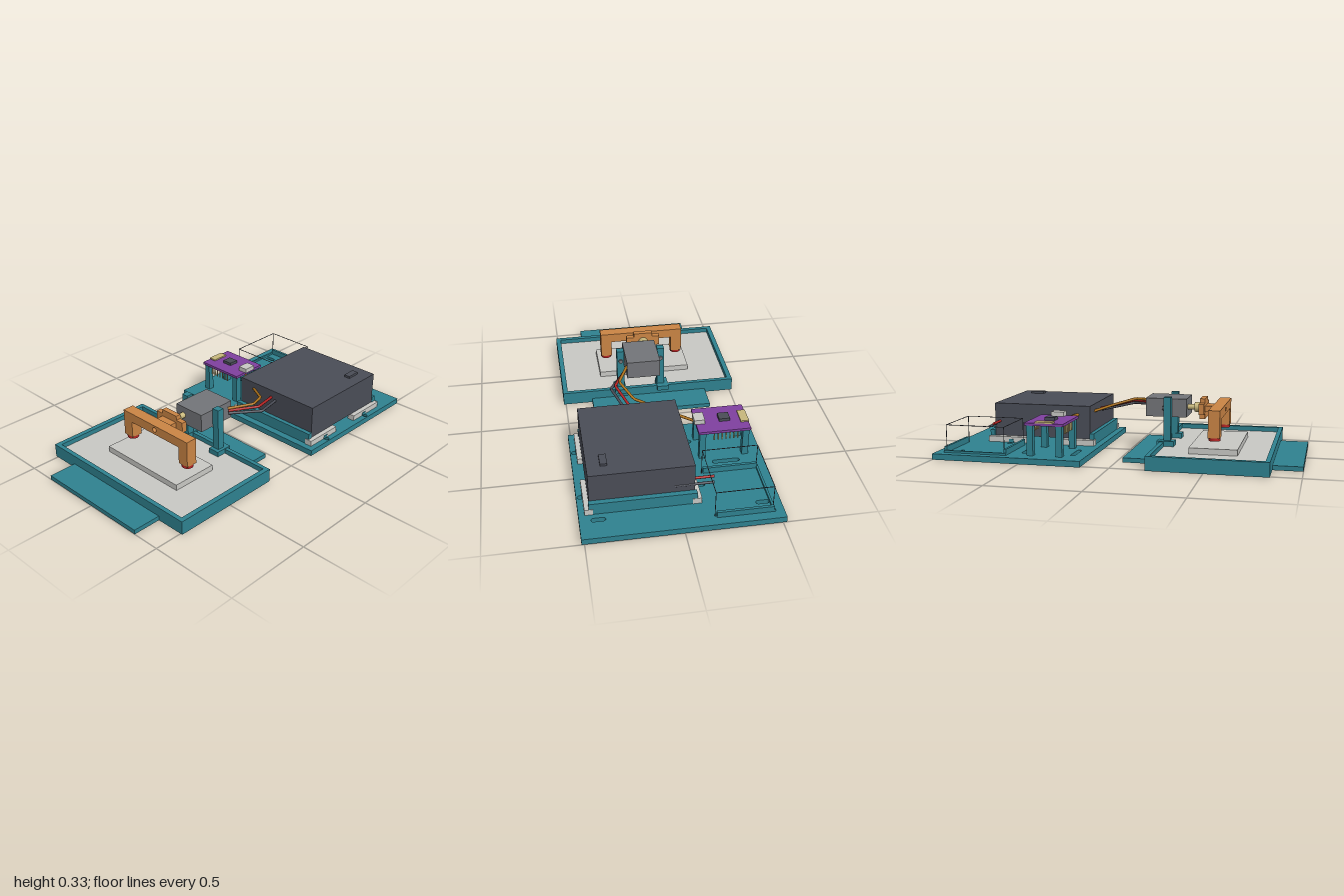
import * as THREE from 'three';

const mat = (name, color) => {
  const m = new THREE.MeshStandardMaterial({ color });
  m.name = name;
  return m;
};

export function createModel() {
  const root = new THREE.Group();
  const teal = mat('teal plastic', 0x2f8290);
  const orange = mat('orange plastic', 0xcb8545);
  const tan = mat('tan metal', 0xc8b87c);
  const light = mat('light grey', 0xc9c9c5);
  const grey = mat('motor grey', 0x737579);
  const dark = mat('dark grey', 0x4a4d57);
  const purple = mat('purple board', 0x8040a0);
  const red = mat('red', 0xb52424);
  const amber = mat('amber wire', 0xb0741c);

  const add = (name, geo, m) => {
    const mesh = new THREE.Mesh(geo, m);
    mesh.name = name;
    root.add(mesh);
    return mesh;
  };
  // box from its minimum and maximum on each axis
  const box = (name, m, x0, x1, y0, y1, z0, z1) =>
    add(name, new THREE.BoxGeometry(x1 - x0, y1 - y0, z1 - z0), m)
      .position.set((x0 + x1) / 2, (y0 + y1) / 2, (z0 + z1) / 2);
  const cyl = (name, m, r, h, x, y, z, axis = 'y') => {
    const g = new THREE.CylinderGeometry(r, r, h, 20);
    if (axis === 'x') g.rotateZ(Math.PI / 2);
    if (axis === 'z') g.rotateX(Math.PI / 2);
    add(name, g, m).position.set(x, y, z);
  };
  const rect = (P, x0, x1, z0, z1) => new P().moveTo(x0, -z0).lineTo(x0, -z1)
    .lineTo(x1, -z1).lineTo(x1, -z0).closePath();
  const slot = (x, z0, z1, r = 0.013) => {
    const p = new THREE.Path();
    p.absarc(x, -z0 - r, r, 0, Math.PI, false);
    p.absarc(x, -z1 + r, r, Math.PI, Math.PI * 2, false);
    return p.closePath();
  };
  // horizontal plate with holes
  const plate = (name, m, shape, holes, y0, y1) => {
    shape.holes.push(...holes);
    const g = new THREE.ExtrudeGeometry(shape, { depth: y1 - y0, bevelEnabled: false, curveSegments: 8 });
    add(name, g.rotateX(-Math.PI / 2), m).position.y = y0;
  };
  // wire with sharp bends
  const wire = (name, m, r, pts) => {
    const path = new THREE.CurvePath();
    const v = pts.map(p => new THREE.Vector3(...p));
    for (let i = 1; i < v.length; i++) path.add(new THREE.LineCurve3(v[i - 1], v[i]));
    add(name, new THREE.TubeGeometry(path, 32, r, 8), m);
  };

  // electronics base with mounting slots
  plate('electronicsBase', teal, rect(THREE.Shape, 0.155, 1, -0.52, 0.515), [
    slot(0.235, -0.39, -0.24), slot(0.515, -0.39, -0.24),
    slot(0.87, -0.46, -0.39), slot(0.87, 0.38, 0.455),
    slot(0.32, 0.44, 0.508), slot(0.69, 0.44, 0.508),
    slot(0.32, -0.16, -0.09), slot(0.69, -0.16, -0.09),
  ], 0, 0.033);

  // battery case, its side rails and feet
  box('case', dark, 0.22, 0.8, 0.067, 0.258, -0.085, 0.457);
  box('caseButton', dark, 0.65, 0.73, 0.258, 0.271, 0.35, 0.387);
  box('caseRail', teal, 0.195, 0.22, 0.033, 0.1, -0.095, 0.46);
  box('caseRail', teal, 0.8, 0.828, 0.033, 0.1, -0.095, 0.46);
  for (const [x0, x1, xb] of [[0.19, 0.42, 0.32], [0.59, 0.83, 0.69]]) {
    box('caseFoot', light, x0, x1, 0.033, 0.066, 0.44, 0.483);
    box('caseFoot', light, x0, x1, 0.033, 0.066, -0.118, -0.07);
    box('footNotch', teal, xb - 0.014, xb + 0.014, 0.033, 0.052, 0.48, 0.486);
    box('footNotch', teal, xb - 0.014, xb + 0.014, 0.033, 0.052, -0.121, -0.115);
  }

  // open bay with low side curbs and a thin wire frame
  box('bayCurb', teal, 0.587, 0.602, 0.033, 0.066, -0.465, -0.17);
  box('bayCurb', teal, 0.935, 0.95, 0.033, 0.066, -0.465, -0.17);
  box('bayCurb', teal, 0.587, 0.95, 0.033, 0.045, -0.472, -0.46);
  const e = 0.0015;
  for (const x of [0.6, 0.937]) {
    for (const z of [-0.46, -0.162]) box('bayFrame', dark, x - e, x + e, 0.033, 0.187, z - e, z + e);
    box('bayFrame', dark, x - e, x + e, 0.185, 0.188, -0.46, -0.162);
  }
  for (const z of [-0.46, -0.162]) box('bayFrame', dark, 0.6, 0.937, 0.185, 0.188, z - e, z + e);

  // circuit board on four posts
  box('board', purple, 0.265, 0.485, 0.2, 0.215, -0.453, -0.167);
  for (const x of [0.275, 0.44])
    for (const z of [-0.447, -0.21]) box('boardPost', teal, x, x + 0.035, 0.033, 0.2, z, z + 0.035);
  box('chip', dark, 0.345, 0.402, 0.215, 0.232, -0.355, -0.295);
  box('boardPlug', light, 0.337, 0.41, 0.215, 0.241, -0.215, -0.157);
  box('boardHeader', tan, 0.325, 0.425, 0.215, 0.223, -0.455, -0.41);
  for (const x of [0.277, 0.473])
    for (let i = 0; i < 7; i++) {
      const z = -0.255 - i * 0.0215;
      box('boardPin', tan, x - 0.003, x + 0.003, 0.15, 0.2, z - 0.003, z + 0.003);
    }

  // tray: open rim, side flanges, pad and raised platform
  plate('trayRim', teal, rect(THREE.Shape, -0.84, -0.195, -0.515, 0.512),
    [rect(THREE.Path, -0.815, -0.218, -0.487, 0.484)], 0, 0.077);
  box('trayFlange', teal, -1, -0.835, 0, 0.025, -0.345, 0.342);
  box('trayFlange', teal, -0.2, -0.035, 0, 0.025, -0.345, 0.342);
  box('trayPad', light, -0.815, -0.218, 0.001, 0.05, -0.487, 0.484);
  box('platform', light, -0.65, -0.385, 0.05, 0.083, -0.275, 0.27);

  // motor held between two posts
  box('motor', grey, -0.335, -0.102, 0.21, 0.314, -0.055, 0.138);
  for (const [f0, f1, p0, p1] of [[-0.12, -0.052, -0.096, -0.055], [0.135, 0.202, 0.142, 0.184]]) {
    box('motorFoot', teal, -0.275, -0.177, 0.052, 0.081, f0, f1);
    box('motorPost', teal, -0.252, -0.212, 0.077, 0.326, p0, p1);
    cyl('motorScrew', grey, 0.012, 0.012, -0.208, 0.262, (p0 + p1) / 2, 'x');
  }
  cyl('shaft', tan, 0.016, 0.1, -0.375, 0.264, 0, 'x');
  cyl('shaftHub', tan, 0.028, 0.035, -0.392, 0.264, 0, 'x');

  // swinging arm: horn plate, link and two-legged bridge
  box('hornPlate', orange, -0.44, -0.41, 0.205, 0.32, -0.055, 0.055);
  box('hornPlate', orange, -0.44, -0.41, 0.235, 0.295, -0.1, 0.1);
  box('armLink', orange, -0.49, -0.435, 0.245, 0.28, -0.055, 0.05);
  const bridge = new THREE.Shape([[-0.25, 0.135], [-0.185, 0.135], [-0.185, 0.232], [0.185, 0.232],
    [0.185, 0.135], [0.25, 0.135], [0.25, 0.286], [-0.25, 0.286]].map(p => new THREE.Vector2(...p)));
  bridge.holes.push(new THREE.Path().absarc(0, 0.26, 0.014, 0, Math.PI * 2, true));
  const bridgeGeo = new THREE.ExtrudeGeometry(bridge, { depth: 0.065, bevelEnabled: false, curveSegments: 8 });
  add('bridge', bridgeGeo.rotateY(Math.PI / 2), orange).position.x = -0.55;
  for (const z of [-0.218, 0.218]) cyl('armTip', red, 0.032, 0.03, -0.518, 0.133, z);

  // motor leads and case leads
  wire('signalWire', amber, 0.008, [[-0.13, 0.275, 0.137], [0.015, 0.27, 0.2], [0.145, 0.235, 0.135],
    [0.225, 0.215, 0.01], [0.295, 0.207, -0.085], [0.345, 0.196, -0.165]]);
  wire('powerWire', red, 0.008, [[-0.13, 0.262, 0.14], [0.03, 0.256, 0.225], [0.23, 0.21, 0.148]]);
  wire('groundWire', dark, 0.008, [[-0.13, 0.247, 0.143], [0.03, 0.238, 0.25], [0.23, 0.198, 0.178]]);
  cyl('caseLead', red, 0.007, 0.12, 0.77, 0.152, -0.13, 'z');
  cyl('caseLead', dark, 0.007, 0.205, 0.796, 0.135, -0.083, 'z');
  return root;
}
